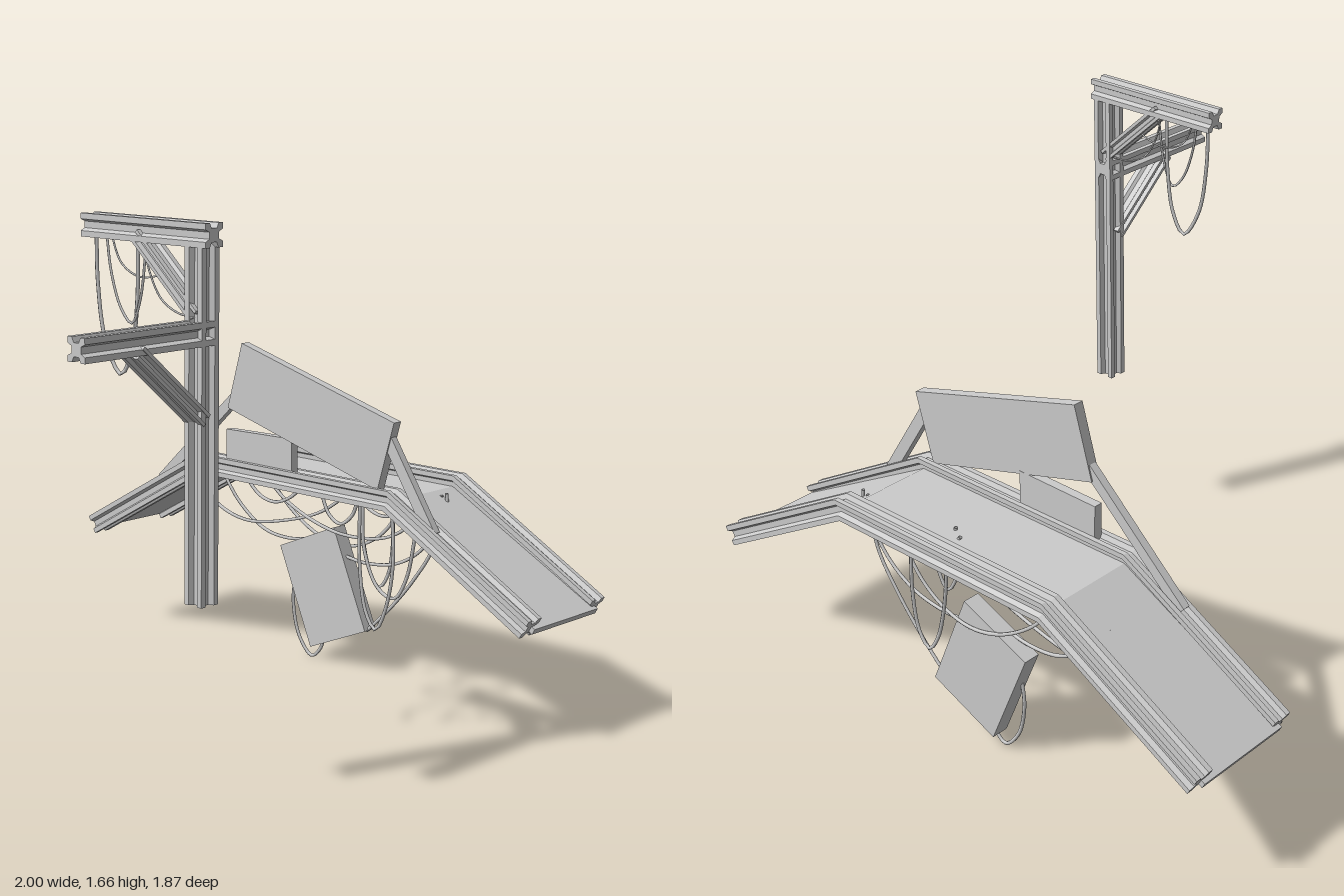
import * as THREE from 'three';

const grey = new THREE.MeshStandardMaterial({ color: 0xcccccc, side: THREE.DoubleSide });
const H = 0.034; // half width of a beam

// Square beam section with a wide groove in each side
function beamShape(sx = 1, sy = 1) {
  const pts = [];
  for (let i = 0; i < 4; i++) {
    const c = Math.cos(i * Math.PI / 2), s = Math.sin(i * Math.PI / 2);
    for (const [a, b] of [[1, 1], [0.5, 1], [0.28, 0.55], [-0.28, 0.55], [-0.5, 1]]) {
      pts.push(new THREE.Vector2((a * c - b * s) * H * sx, (a * s + b * c) * H * sy));
    }
  }
  return new THREE.Shape(pts);
}

function rectShape(w, h) {
  return new THREE.Shape([[-w, -h], [w, -h], [w, h], [-w, h]].map(p => new THREE.Vector2(...p)));
}

function add(parent, geometry, name) {
  const mesh = new THREE.Mesh(geometry, grey);
  mesh.name = name;
  parent.add(mesh);
  return mesh;
}

// Straight member between two points
function member(parent, name, from, to, shape) {
  const a = new THREE.Vector3(...from), b = new THREE.Vector3(...to);
  const geo = new THREE.ExtrudeGeometry(shape, { depth: a.distanceTo(b), bevelEnabled: false });
  const mesh = add(parent, geo, name);
  if (Math.abs(a.x - b.x) + Math.abs(a.z - b.z) < 1e-6) mesh.up.set(0, 0, 1);
  mesh.position.copy(a);
  mesh.lookAt(b);
}

// Section carried along the humped bridge line, mitred at the two bends
function humped(parent, name, shape, z, endX, endY, bendX, topY) {
  const geo = new THREE.ExtrudeGeometry(shape, { depth: 3, steps: 3, bevelEnabled: false });
  const slope = Math.atan2(topY - endY, endX - bendX);
  const t = Math.tan(slope / 2);
  const stations = [
    [-endX, endY, -Math.sin(slope), Math.cos(slope)], [-bendX, topY, -t, 1],
    [bendX, topY, t, 1], [endX, endY, Math.sin(slope), Math.cos(slope)],
  ];
  const p = geo.attributes.position;
  for (let i = 0; i < p.count; i++) {
    const [x, y, nx, ny] = stations[Math.round(p.getZ(i))];
    const v = p.getY(i);
    p.setXYZ(i, x + nx * v, y + ny * v, z - p.getX(i));
  }
  geo.computeVertexNormals();
  add(parent, geo, name);
}

function panel(parent, name, w, h, d, x, y, z, angle) {
  const mesh = add(parent, new THREE.BoxGeometry(w, h, d), name);
  mesh.position.set(x, y, z);
  mesh.rotation.z = angle;
}

// Slack cable: points are [x, y, optional z]
function cable(parent, z, pts, r = 0.006) {
  const curve = new THREE.CatmullRomCurve3(pts.map(p => new THREE.Vector3(p[0], p[1], p[2] ?? z)));
  add(parent, new THREE.TubeGeometry(curve, 36, r, 6), 'cable');
}

function group(parent, name) {
  const g = new THREE.Group();
  g.name = name;
  parent.add(g);
  return g;
}

export function createModel() {
  const model = new THREE.Group();
  model.name = 'brokenWalkway';

  // Bridge: two grooved rails with a deck between them
  const bridge = group(model, 'bridge');
  humped(bridge, 'frontRail', beamShape(), -0.56, 0.984, 0.382, 0.425, 0.698);
  humped(bridge, 'backRail', beamShape(), -0.902, 0.984, 0.382, 0.425, 0.698);
  humped(bridge, 'deck', rectShape(0.17, 0.01), -0.731, 0.995, 0.372, 0.42, 0.682);

  // Leaning sign board, its struts and the small plate below it
  const sign = group(model, 'signBoard');
  panel(sign, 'board', 0.7, 0.24, 0.035, 0.075, 0.934, -0.557, -0.271);
  panel(sign, 'lowerPlate', 0.305, 0.12, 0.03, -0.152, 0.778, -0.56, 0.02);
  member(sign, 'leftStrut', [-0.63, 0.61, -0.557], [-0.27, 0.95, -0.557], rectShape(0.013, 0.018));
  member(sign, 'rightStrut', [0.60, 0.61, -0.557], [0.41, 0.90, -0.557], rectShape(0.013, 0.02));

  // Plate hanging on cables under the deck
  panel(model, 'hangingPlate', 0.272, 0.376, 0.058, -0.049, 0.272, -0.795, 0.408);

  // Cables slung beneath the bridge
  const cables = group(model, 'bridgeCables');
  cable(cables, -0.77, [[-0.65, 0.555], [-0.55, 0.485], [-0.42, 0.455], [-0.25, 0.48], [-0.05, 0.55], [0.08, 0.66], [0.08, 0.7]]);
  cable(cables, -0.78, [[-0.555, 0.62], [-0.46, 0.51], [-0.34, 0.435], [-0.22, 0.42], [-0.1, 0.44]]);
  cable(cables, -0.83, [[-0.4, 0.68], [-0.3, 0.55], [-0.15, 0.45], [-0.02, 0.42], [0.1, 0.45], [0.2, 0.53], [0.27, 0.68]]);
  cable(cables, -0.72, [[-0.31, 0.68], [-0.2, 0.585], [-0.05, 0.52], [0.1, 0.495], [0.28, 0.52], [0.4, 0.6], [0.45, 0.67]]);
  cable(cables, -0.57, [[-0.24, 0.68], [-0.17, 0.62], [-0.1, 0.605], [-0.03, 0.63], [0.03, 0.68]]);
  cable(cables, -0.86, [[0.025, 0.68], [0.05, 0.48], [0.09, 0.34], [0.13, 0.29], [0.17, 0.34], [0.19, 0.48], [0.18, 0.68]]);
  cable(cables, -0.80, [[0.03, 0.7], [0.1, 0.6], [0.19, 0.565], [0.28, 0.6], [0.34, 0.68]]);
  cable(cables, -0.58, [[0.1, 0.68], [0.14, 0.6], [0.19, 0.575], [0.24, 0.61], [0.27, 0.68]]);
  cable(cables, -0.555, [[0.295, 0.68], [0.3, 0.45], [0.33, 0.3], [0.37, 0.25], [0.41, 0.32], [0.44, 0.48], [0.43, 0.68]]);
  cable(cables, -0.6, [[0.27, 0.68], [0.28, 0.5], [0.34, 0.38], [0.41, 0.355], [0.46, 0.43], [0.5, 0.62]]);
  cable(cables, -0.79, [[0.02, 0.40], [0.13, 0.39], [0.27, 0.415], [0.38, 0.49], [0.47, 0.64], [0.47, 0.69]]);
  cable(cables, -0.79, [[0.14, 0.15], [0.24, 0.25], [0.34, 0.37], [0.42, 0.5], [0.45, 0.68]]);
  cable(cables, -0.785, [[-0.19, 0.3], [-0.2, 0.19], [-0.17, 0.07], [-0.11, 0.008], [-0.07, 0.04], [-0.05, 0.09]]);

  // Gantry: post with a side beam on top and a forward arm, both braced
  const gantry = group(model, 'gantry');
  const zc = 0.468, xc = 0.575;
  member(gantry, 'post', [xc, 0.58, zc], [xc, 1.61, zc], beamShape());
  member(gantry, 'topBeam', [0.115, 1.632, zc], [0.622, 1.632, zc], beamShape());
  member(gantry, 'forwardArm', [xc, 1.36, 0.434], [xc, 1.36, 0.935], beamShape());
  member(gantry, 'topBrace', [0.335, 1.617, zc], [0.57, 1.408, zc], beamShape(0.95, 0.6));
  member(gantry, 'armBrace', [xc, 1.335, 0.735], [xc, 1.118, 0.482], beamShape(1.08, 0.6));

  // Cables drooping from the top beam
  const topCables = group(gantry, 'gantryCables');
  cable(topCables, 0.468, [[0.145, 1.62], [0.15, 1.46], [0.18, 1.3], [0.245, 1.205], [0.29, 1.27], [0.315, 1.42], [0.32, 1.62]]);
  cable(topCables, 0.475, [[0.195, 1.62], [0.215, 1.5], [0.255, 1.4], [0.3, 1.36], [0.335, 1.43], [0.36, 1.58]], 0.004);
  cable(topCables, 0.46, [[0.195, 1.62], [0.24, 1.53], [0.31, 1.495], [0.38, 1.5], [0.43, 1.52]], 0.003);
  cable(topCables, 0.465, [[0.34, 1.6], [0.36, 1.52], [0.41, 1.44], [0.48, 1.405], [0.55, 1.4]], 0.003);

  return model;
}
